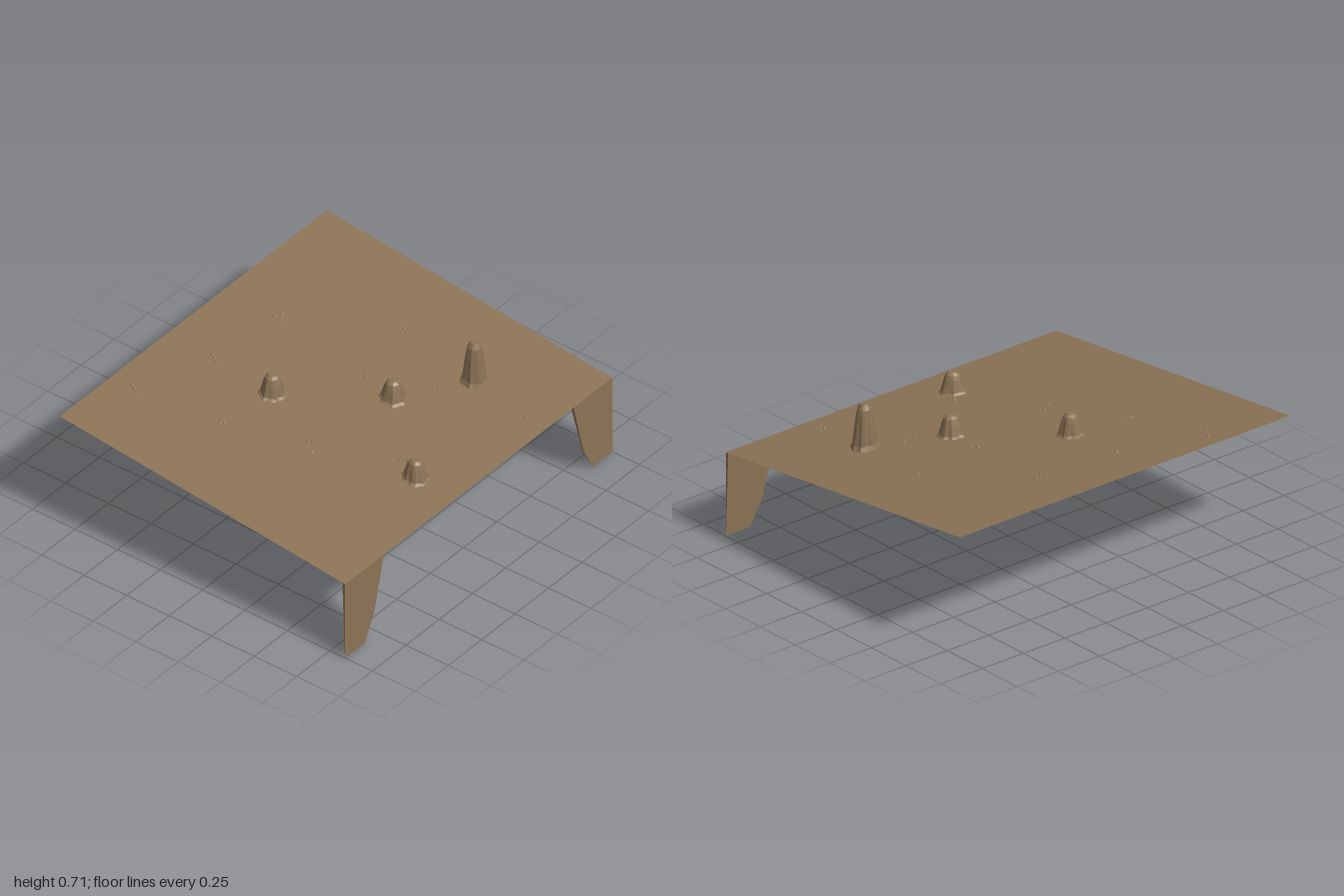
import * as THREE from 'three';

const HALF_DEPTH = 0.84;
// Height of the sloping sheet at a given depth
const groundAt = z => 0.43 + (HALF_DEPTH - z) * 0.11;

// Mounds: x, z, height, ripple phase
const MOUNDS = [
  [-0.185, -0.23, 0.11, 0.3],
  [0.18, 0.195, 0.105, 1.7],
  [-0.185, 0.615, 0.105, 2.9],
  [0.54, 0.39, 0.227, 4.1],
];

// Pebble clusters: lists of x, z pairs
const CLUSTERS = [
  [-0.62, -0.69, -0.605, -0.71, -0.59, -0.735],
  [-0.19, -0.555, -0.175, -0.575, -0.165, -0.6],
  [0.24, -0.52, 0.245, -0.555, 0.285, -0.54],
  [-0.515, -0.275, -0.5, -0.265, -0.5, -0.282],
  [0.585, -0.045, 0.595, -0.065, 0.59, -0.085],
  [0.2, -0.02, 0.225, -0.005, 0.21, 0.015],
  [-0.375, 0.155, -0.34, 0.1, -0.32, 0.115],
  [0.325, 0.29, 0.345, 0.305, 0.37, 0.31],
  [-0.145, 0.49, -0.115, 0.515, -0.13, 0.54, -0.13, 0.57],
  [0.49, 0.765, 0.505, 0.72, 0.53, 0.72],
];

function moveVertices(geometry, rule) {
  const pos = geometry.attributes.position;
  const v = new THREE.Vector3();
  for (let i = 0; i < pos.count; i++) {
    rule(v.fromBufferAttribute(pos, i));
    pos.setXYZ(i, v.x, v.y, v.z);
  }
  geometry.computeVertexNormals();
  return geometry;
}

// Sloping sheet with an opening under each mound
function groundGeometry() {
  const shape = new THREE.Shape([[-1, -1], [1, -1], [1, 1], [-1, 1]]
    .map(([x, y]) => new THREE.Vector2(x, y * HALF_DEPTH)));
  for (const [x, z] of MOUNDS) {
    shape.holes.push(new THREE.Path().absarc(x, -z, 0.057, 0, Math.PI * 2, true));
  }
  const geometry = new THREE.ShapeGeometry(shape, 10).rotateX(-Math.PI / 2);
  return moveVertices(geometry, v => { v.y = groundAt(v.z); });
}

// Hollow mound with a rippled, flared skirt
function moundGeometry(cx, cz, height, phase) {
  const profile = [[1, 0], [0.84, 0.1], [0.74, 0.35], [0.62, 0.66], [0.5, 0.88], [0.3, 0.99], [0, 1]]
    .map(([r, t]) => new THREE.Vector2(r * 0.067, t));
  const geometry = new THREE.LatheGeometry(profile, 20);
  return moveVertices(geometry, v => {
    const angle = Math.atan2(v.x, v.z);
    const t = v.y;
    const ripple = 1 + 0.08 * (1 - 0.6 * t) * (Math.sin(7 * angle + phase) + 0.4 * Math.sin(3 * angle - phase));
    v.x = cx + v.x * ripple;
    v.z = cz + v.z * ripple;
    v.y = THREE.MathUtils.lerp(groundAt(v.z), groundAt(cz) + height, t);
  });
}

// Thin wedge leg that narrows toward the foot
function legGeometry(side) {
  const outline = [[0.855, 0], [1, 0], [1, 0.43], [0.71, 0.43], [0.785, 0.13]]
    .map(([x, y]) => new THREE.Vector2(x * side, y));
  const geometry = new THREE.ExtrudeGeometry(new THREE.Shape(outline), { depth: 1, bevelEnabled: false });
  return moveVertices(geometry, v => {
    const thickness = 0.002 + 0.015 * v.y / 0.43;
    v.z = HALF_DEPTH - (1 - v.z) * thickness;
  });
}

export function createModel() {
  const model = new THREE.Group();
  model.name = 'rockyLedge';
  const earth = new THREE.MeshStandardMaterial({ color: 0x8b7355 });
  earth.name = 'earthBrown';
  earth.flatShading = true;
  earth.side = THREE.DoubleSide;

  const add = (geometry, name, parent = model) => {
    const mesh = new THREE.Mesh(geometry, earth);
    mesh.name = name;
    parent.add(mesh);
    return mesh;
  };

  add(groundGeometry(), 'ground');
  add(legGeometry(1), 'leftLeg');
  add(legGeometry(-1), 'rightLeg');
  MOUNDS.forEach((m, i) => add(moundGeometry(...m), `mound${i + 1}`));

  // Small flattened pebbles resting on the slope
  const pebble = new THREE.SphereGeometry(0.01, 7, 3, 0, Math.PI * 2, 0, Math.PI / 2);
  CLUSTERS.forEach((points, c) => {
    const cluster = new THREE.Group();
    cluster.name = `pebbleCluster${c + 1}`;
    for (let i = 0; i < points.length; i += 2) {
      const mesh = add(pebble, 'pebble', cluster);
      mesh.position.set(points[i], groundAt(points[i + 1]), points[i + 1]);
      mesh.scale.set(1, 0.5, 0.85);
      mesh.rotation.set(Math.atan(0.11), i + c, 0);
    }
    model.add(cluster);
  });
  return model;
}
